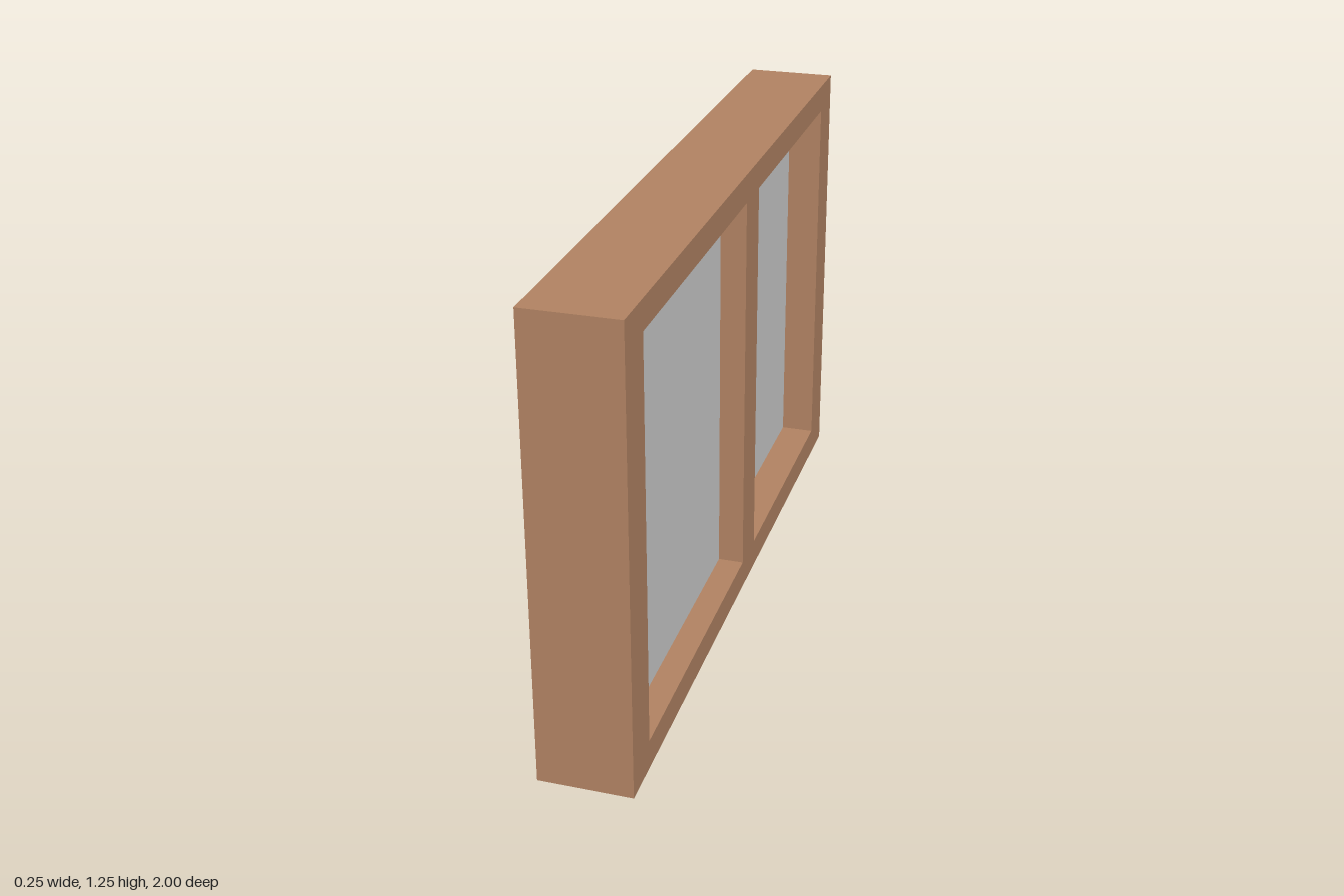
import * as THREE from 'three';

const W = 2, H = 1.25, D = 0.25;
const SILL = 0.08, TOP = 1.172;

// Openings along z, with the depth range (x) of the pane in each
const BAYS = [
  { name: 'frontPane', z0: 0, z1: 0.875, x0: 0.025, x1: 0.054 },
  { name: 'backPane', z0: -0.875, z1: -0.125, x0: 0, x1: 0.028 },
];

function rect(target, x0, y0, x1, y1) {
  target.moveTo(x0, y0);
  target.lineTo(x1, y0);
  target.lineTo(x1, y1);
  target.lineTo(x0, y1);
  target.closePath();
  return target;
}

export function createModel() {
  const group = new THREE.Group();
  group.name = 'slidingWindow';
  const wood = new THREE.MeshStandardMaterial({ color: 0xb08262 });
  const glass = new THREE.MeshStandardMaterial({ color: 0xcccccc });

  // Frame with two openings, drawn in (-z, y) and extruded along x
  const outline = rect(new THREE.Shape(), -W / 2, 0, W / 2, H);
  for (const b of BAYS) outline.holes.push(rect(new THREE.Path(), -b.z1, SILL, -b.z0, TOP));
  const frameGeo = new THREE.ExtrudeGeometry(outline, { depth: D, bevelEnabled: false });
  frameGeo.translate(0, 0, -D / 2).rotateY(Math.PI / 2);
  const frame = new THREE.Mesh(frameGeo, wood);
  frame.name = 'frame';
  group.add(frame);

  // Panes on two offset tracks
  for (const b of BAYS) {
    const pane = new THREE.Mesh(new THREE.BoxGeometry(b.x1 - b.x0, TOP - SILL, b.z1 - b.z0), glass);
    pane.position.set((b.x0 + b.x1) / 2, (SILL + TOP) / 2, (b.z0 + b.z1) / 2);
    pane.name = b.name;
    group.add(pane);
  }
  return group;
}
